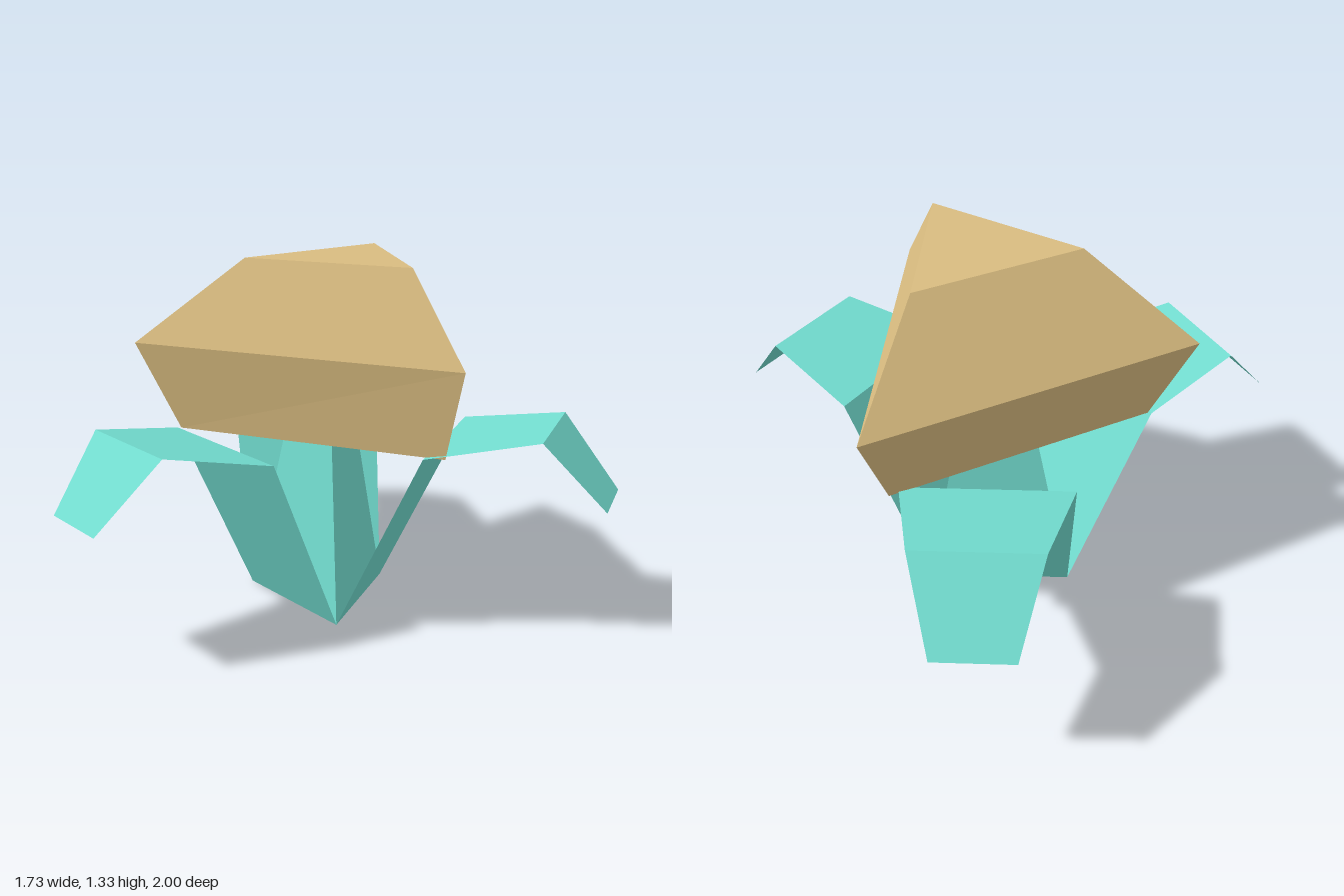
import * as THREE from 'three';

const leafTeal = new THREE.MeshStandardMaterial({ color: 0x72dccf, flatShading: true, side: THREE.DoubleSide });
leafTeal.name = 'leafTeal';
const budSand = new THREE.MeshStandardMaterial({ color: 0xd9bc80, flatShading: true });
budSand.name = 'budSand';

// x of the axis shared by the stem and the three leaves
const AXIS_X = 0.207;

function faceted(geometry) {
  const g = geometry.index ? geometry.toNonIndexed() : geometry;
  g.computeVertexNormals();
  return g;
}

// Thin folded leaf growing along +x: [distance from axis, height, half width] per fold
function leafGeometry() {
  const folds = [[0.15, 0, 0.26], [0.467, 0.69, 0.295], [0.857, 0.77, 0.215], [1.075, 0.525, 0.135]];
  const positions = [];
  const index = [];
  folds.forEach(([r, y, h], i) => {
    positions.push(r, y, h, r, y, -h);
    if (i > 0) {
      const a = 2 * i - 2;
      index.push(a, a + 2, a + 1, a + 1, a + 2, a + 3);
    }
  });
  // turn each strip upward and inward
  for (let i = 0; i < index.length; i += 3) [index[i + 1], index[i + 2]] = [index[i + 2], index[i + 1]];
  for (let i = 0; i < index.length; i += 3) [index[i + 1], index[i + 2]] = [index[i + 2], index[i + 1]];
  const g = new THREE.BufferGeometry();
  g.setAttribute('position', new THREE.Float32BufferAttribute(positions, 3));
  g.setIndex(index);
  return faceted(g);
}

// Three-sided bud: each level is a triangle with its own size and lean
function budGeometry() {
  const levels = [
    { y: 0.69, half: 0.495, back: -0.285, front: 0.6 },
    { y: 1.01, half: 0.617, back: -0.395, front: 0.677 },
    { y: 1.325, half: 0.31, back: -0.129, front: 0.412 },
  ];
  const g = new THREE.CylinderGeometry(1, 1, 1, 3, 2);
  const p = g.attributes.position;
  for (let i = 0; i < p.count; i++) {
    const l = levels[Math.round((p.getY(i) + 0.5) * 2)];
    const t = (p.getZ(i) + 0.5) / 1.5;
    p.setXYZ(i, 0.245 + p.getX(i) / 0.866 * l.half, l.y, l.back + t * (l.front - l.back));
  }
  return faceted(g);
}

export function createModel() {
  const model = new THREE.Group();
  model.name = 'plant';

  // Tapered triangular stem
  const stem = new THREE.Mesh(faceted(new THREE.CylinderGeometry(0.15, 0.3, 0.69, 3)), leafTeal);
  stem.name = 'stem';
  stem.position.set(AXIS_X, 0.345, 0);
  stem.rotation.y = Math.PI / 2;
  model.add(stem);

  // Three drooping leaves
  const geometry = leafGeometry();
  [['frontLeaf', -60], ['backLeaf', 60], ['sideLeaf', 180]].forEach(([name, degrees]) => {
    const leaf = new THREE.Mesh(geometry, leafTeal);
    leaf.name = name;
    leaf.position.x = AXIS_X;
    leaf.rotation.y = THREE.MathUtils.degToRad(degrees);
    model.add(leaf);
  });

  // Bud on top
  const bud = new THREE.Mesh(budGeometry(), budSand);
  bud.name = 'bud';
  model.add(bud);

  return model;
}
